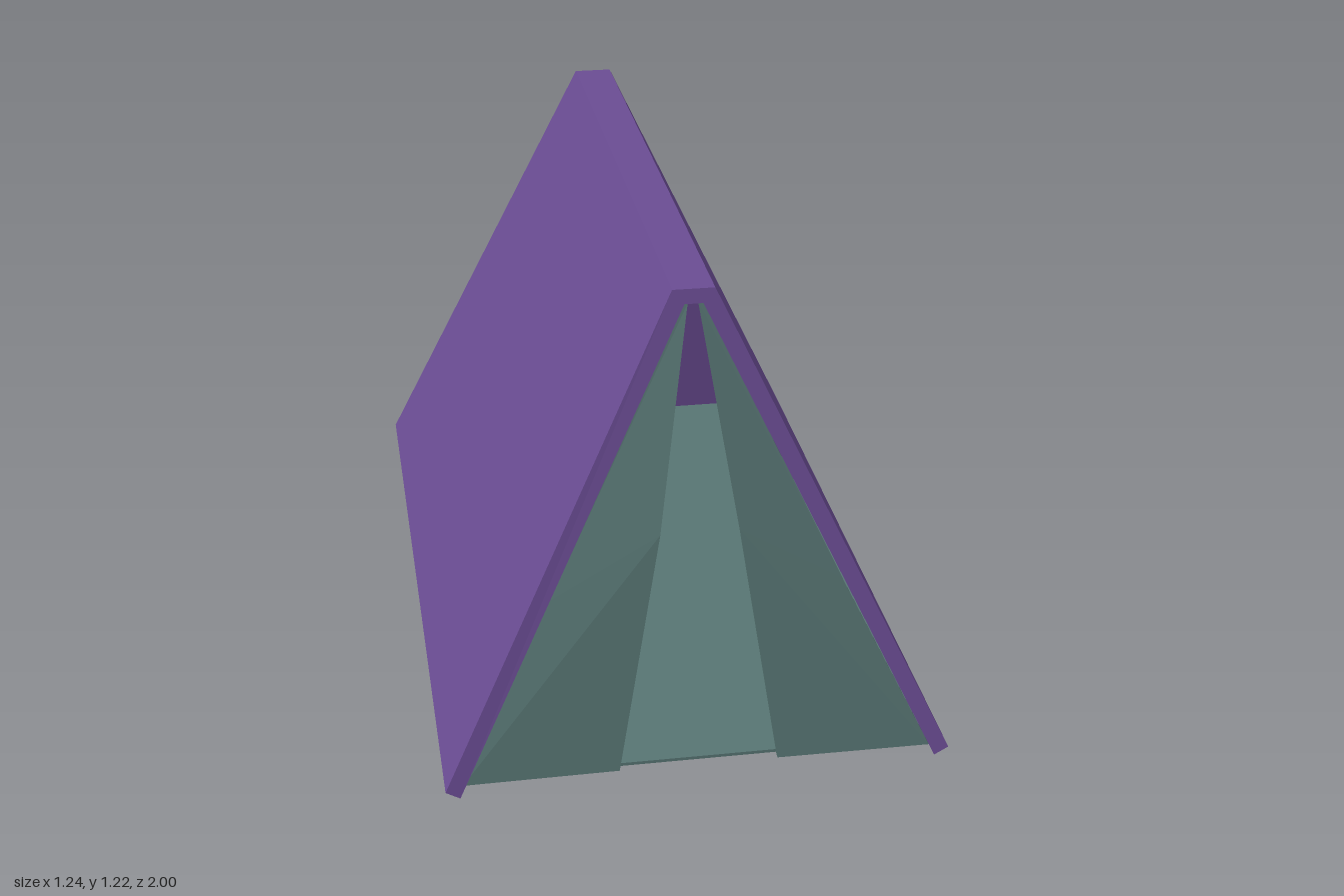
import * as THREE from 'three';

const purple = new THREE.MeshStandardMaterial({ color: 0x6a4c93, flatShading: true, side: THREE.DoubleSide });
const green = new THREE.MeshStandardMaterial({ color: 0x577573, flatShading: true, side: THREE.DoubleSide });

// Distance of the sloping tent ends from the middle at height y
const endZ = (y) => 1 - 0.17 * Math.max(0, (y - 0.02) / 1.195);

// Extrude an outline between two z values, then lean it to follow the sloping ends
function slopedExtrude(points, z0, z1) {
  const shape = new THREE.Shape(points.map(([x, y]) => new THREE.Vector2(x, y)));
  const geo = new THREE.ExtrudeGeometry(shape, { depth: z1 - z0, bevelEnabled: false });
  geo.translate(0, 0, z0);
  const p = geo.attributes.position;
  for (let i = 0; i < p.count; i++) {
    const z = p.getZ(i);
    p.setZ(i, z + Math.sign(z) * (endZ(p.getY(i)) - 1));
  }
  geo.computeVertexNormals();
  return geo;
}

// Door flap skinned through rows of [outer x, outer y, outer z, inner x, inner y, inner z]
function flapGeometry(rows, side, thickness = 0.012) {
  const pos = [];
  const index = [];
  for (const [ox, oy, oz, ix, iy, iz] of rows) {
    pos.push(side * ox, oy, oz, side * ix, iy, iz);
    pos.push(side * ix, iy, iz - thickness, side * ox, oy, oz - thickness);
  }
  const quad = (a, b, c, d) => (side > 0 ? index.push(a, c, b, a, d, c) : index.push(a, b, c, a, c, d));
  for (let r = 0; r < rows.length - 1; r++) {
    for (let k = 0; k < 4; k++) {
      const n = (k + 1) % 4;
      quad(r * 4 + k, r * 4 + n, r * 4 + 4 + n, r * 4 + 4 + k);
    }
  }
  const e = (rows.length - 1) * 4;
  quad(3, 2, 1, 0);
  quad(e, e + 1, e + 2, e + 3);
  const geo = new THREE.BufferGeometry();
  geo.setAttribute('position', new THREE.Float32BufferAttribute(pos, 3));
  geo.setIndex(index);
  const flat = geo.toNonIndexed();
  flat.computeVertexNormals();
  return flat;
}

export function createModel() {
  const tent = new THREE.Group();
  tent.name = 'tent';
  const add = (name, geo, mat) => {
    const mesh = new THREE.Mesh(geo, mat);
    mesh.name = name;
    tent.add(mesh);
    return mesh;
  };

  // Folded roof sheet with a narrow flat ridge
  add('roof', slopedExtrude([
    [0.62, 0.02], [0.05, 1.215], [-0.05, 1.215], [-0.62, 0.02],
    [-0.585, 0], [-0.022, 1.18], [0.022, 1.18], [0.585, 0],
  ], -1, 1), purple);

  // Closed back wall, leaving a sliver under the ridge
  add('backWall', slopedExtrude([
    [-0.576, 0.02], [0.576, 0.02], [0.025, 1.174], [-0.025, 1.174],
  ], -0.999, -0.987), purple);

  // Ground sheet
  const floor = add('floor', new THREE.BoxGeometry(1.15, 0.008, 1.94), green);
  floor.position.set(0, 0.02, -0.02);

  // Door flaps, each creased and bulging slightly at mid height
  const flap = (midX, bottomZ) => [
    [0.576, 0.018, bottomZ, 0.195, 0.018, bottomZ - 0.003],
    [0.352, 0.48, 0.92, midX, 0.635, 0.924],
    [0.026, 1.178, 0.826, 0.013, 1.178, 0.826],
  ];
  add('leftFlap', flapGeometry(flap(0.1, 0.98), 1), green);
  add('rightFlap', flapGeometry(flap(0.09, 0.975), -1), green);

  return tent;
}
